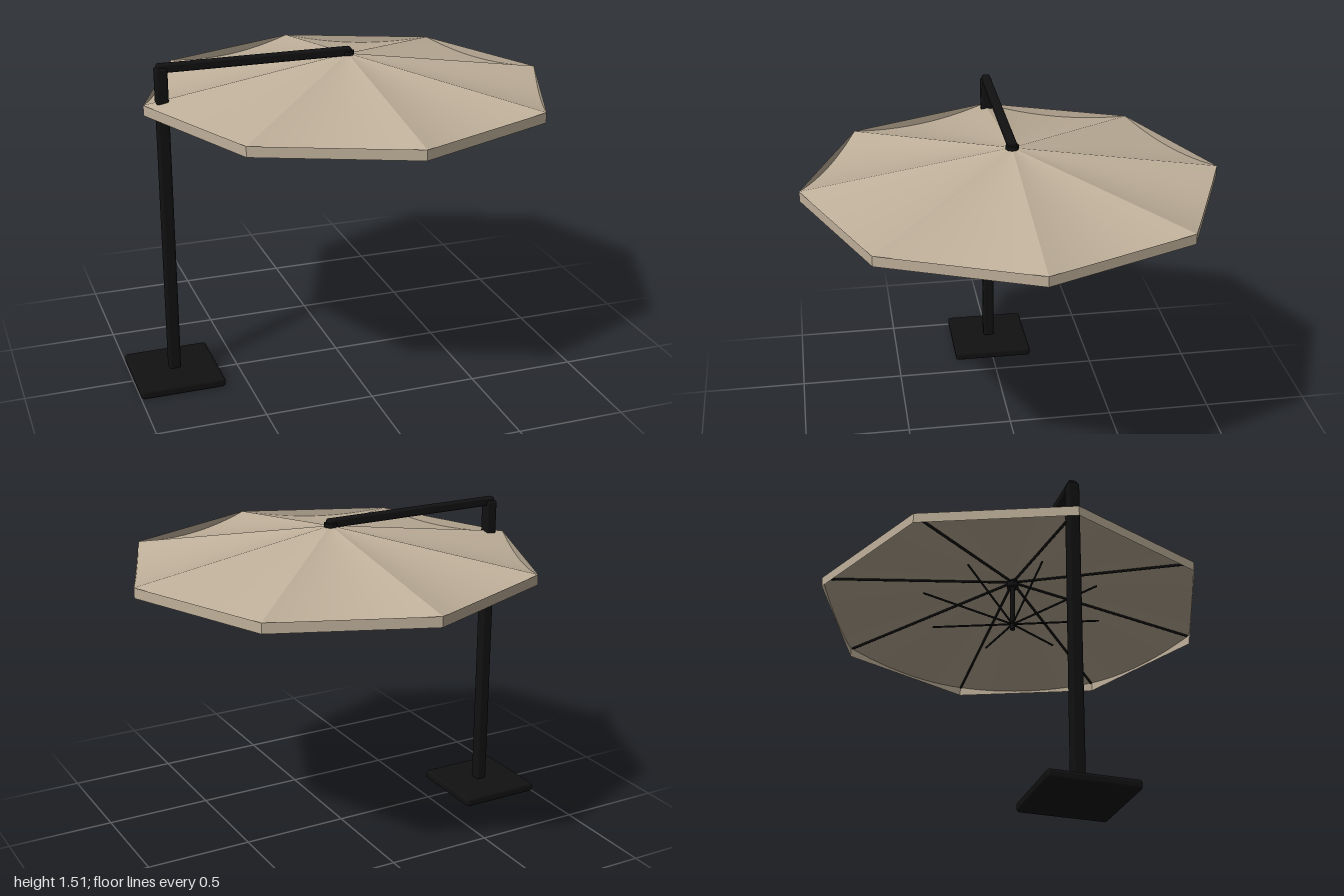
import * as THREE from 'three';
import { RoundedBoxGeometry } from 'three/addons/geometries/RoundedBoxGeometry.js';

const SIDES = 8, CX = 0.055, R = 0.94, RIM = 1.332, APEX = 1.48, HEM = 1.285, SAG = 0.035;

const metal = new THREE.MeshStandardMaterial({ color: 0x111111 });
const fabric = new THREE.MeshStandardMaterial({ color: 0xbfb09a, side: THREE.DoubleSide });
const fabricFlat = new THREE.MeshStandardMaterial({ color: 0xbfb09a, side: THREE.DoubleSide, flatShading: true });

function add(parent, name, geometry, material, x = 0, y = 0, z = 0) {
  const mesh = new THREE.Mesh(geometry, material);
  mesh.name = name;
  mesh.position.set(x, y, z);
  parent.add(mesh);
  return mesh;
}

// Point at a given radius, height and bearing around the canopy axis
function polar(radius, y, angle) {
  return new THREE.Vector3(radius * Math.cos(angle), y, -radius * Math.sin(angle));
}

// Thin round bar between two points
function bar(parent, name, a, b, radius) {
  const mesh = add(parent, name, new THREE.CylinderGeometry(radius, radius, a.distanceTo(b), 8), metal);
  mesh.position.copy(a).lerp(b, 0.5);
  mesh.quaternion.setFromUnitVectors(new THREE.Vector3(0, 1, 0), b.clone().sub(a).normalize());
}

// Fabric panel between two ribs, hanging lower midway between them
function panelGeometry(a0, a1) {
  const g = new THREE.PlaneGeometry(1, 1, 12, 12);
  const p = g.attributes.position;
  const c0 = polar(R, 0, a0), c1 = polar(R, 0, a1), v = new THREE.Vector3();
  for (let i = 0; i < p.count; i++) {
    const t = p.getX(i) + 0.5, u = p.getY(i) + 0.5;
    v.lerpVectors(c0, c1, u).multiplyScalar(t);
    const y = APEX + (RIM - APEX) * t - SAG * 4 * u * (1 - u) * t;
    p.setXYZ(i, v.x, y, v.z);
  }
  g.computeVertexNormals();
  return g;
}

export function createModel() {
  const model = new THREE.Group();
  model.name = 'cantileverParasol';

  // Base, mast and overhead arm
  add(model, 'base', new RoundedBoxGeometry(0.395, 0.045, 0.395, 3, 0.015), metal, -0.8025, 0.0225, 0);
  add(model, 'mast', new RoundedBoxGeometry(0.055, 1.455, 0.055, 3, 0.012), metal, -0.802, 0.7675, 0);
  add(model, 'arm', new RoundedBoxGeometry(0.89, 0.04, 0.04, 3, 0.01), metal, -0.375, 1.491, 0);

  // Canopy assembly around its own axis
  const canopy = new THREE.Group();
  canopy.name = 'canopy';
  canopy.position.x = CX;
  model.add(canopy);

  add(canopy, 'valance', new THREE.CylinderGeometry(R, R, RIM - HEM, SIDES, 1, true), fabricFlat, 0, (RIM + HEM) / 2, 0);
  add(canopy, 'topHub', new THREE.CylinderGeometry(0.03, 0.03, 0.05, 8), metal, 0, 1.468, 0);
  add(canopy, 'centrePost', new THREE.CylinderGeometry(0.012, 0.012, 0.26, 12), metal, 0, 1.34, 0);

  for (let i = 0; i < SIDES; i++) {
    const a = (i / SIDES) * Math.PI * 2, next = ((i + 1) / SIDES) * Math.PI * 2;
    add(canopy, 'panel', panelGeometry(a, next), fabric);
    bar(canopy, 'rib', polar(0.01, APEX - 0.008, a), polar(R - 0.01, RIM - 0.005, a), 0.006);
    bar(canopy, 'strut', polar(0, 1.24, a), polar(0.45, 1.335, a), 0.005);
  }
  return model;
}
